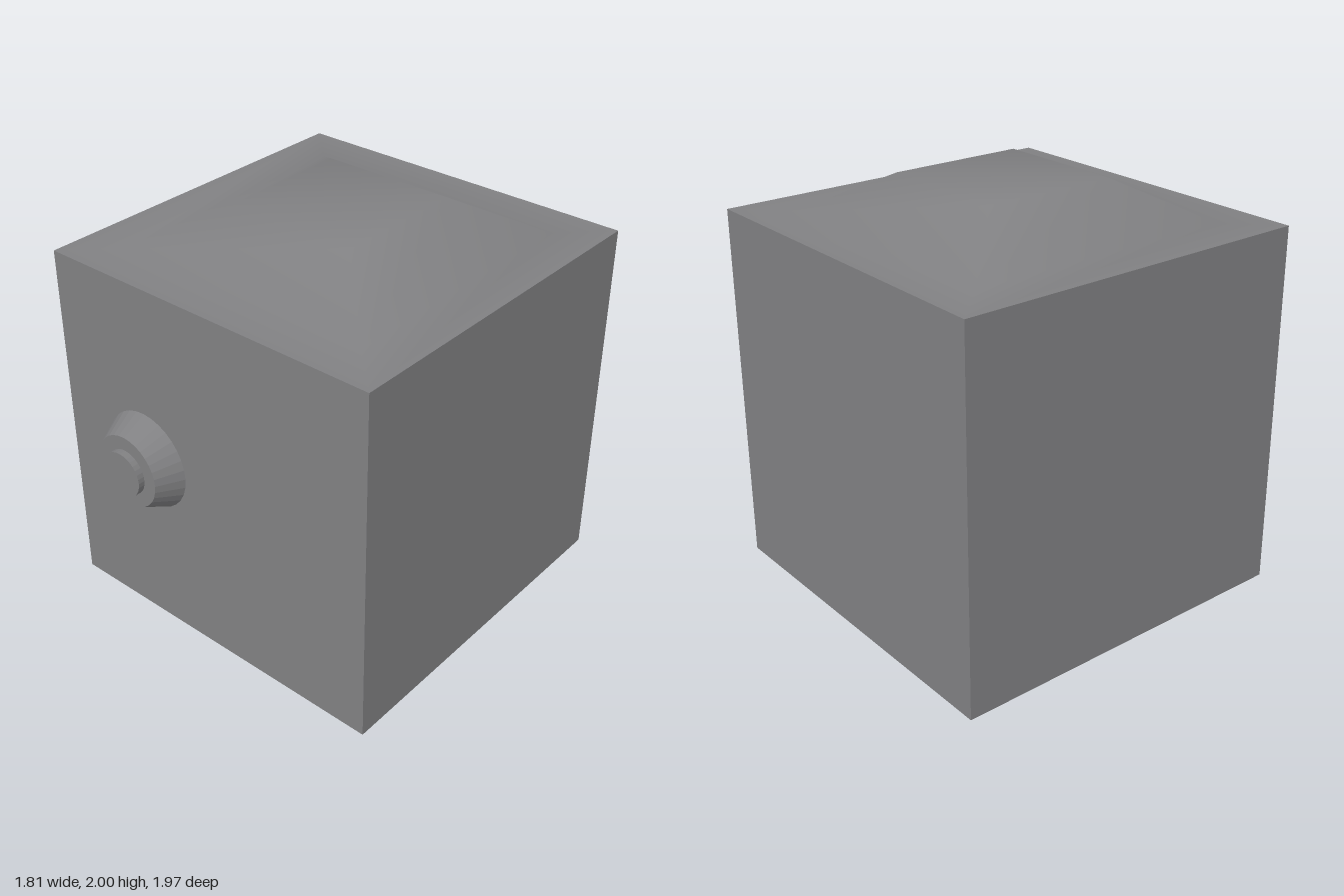
import * as THREE from 'three';

const grey = new THREE.MeshStandardMaterial({ color: 0x808082 });
grey.name = 'grey';

const CZ = -0.08; // depth centre of the cabinet
const HALF = 0.903, HEIGHT = 1.805;

function add(group, name, geometry, x, y, z) {
  const mesh = new THREE.Mesh(geometry, grey);
  mesh.name = name;
  mesh.position.set(x, y, z);
  group.add(mesh);
}

// Box with its +y face left out; the softly shaded lid closes it
function bodyGeometry() {
  const geo = new THREE.BoxGeometry(HALF * 2, HEIGHT, HALF * 2);
  const index = Array.from(geo.index.array);
  index.splice(12, 6);
  geo.setIndex(index);
  geo.clearGroups();
  return geo;
}

// Square loops joined into a rim, a slope and a flat top, sharing normals
function lidGeometry() {
  const loops = [[HALF, 0], [0.682, 0], [0.337, 0.195]];
  const points = [], index = [];
  for (const [r, y] of loops) points.push(-r, y, r, r, y, r, r, y, -r, -r, y, -r);
  for (let k = 0; k < loops.length - 1; k++) {
    for (let i = 0; i < 4; i++) {
      const a = k * 4 + i, b = k * 4 + (i + 1) % 4;
      index.push(a, b, b + 4, a, b + 4, a + 4);
    }
  }
  index.push(8, 9, 10, 8, 10, 11);
  const geo = new THREE.BufferGeometry();
  geo.setAttribute('position', new THREE.Float32BufferAttribute(points, 3));
  geo.setIndex(index);
  geo.computeVertexNormals();
  return geo;
}

// Faceted disc whose axis points to the front
function discGeometry(frontRadius, backRadius, depth) {
  const geo = new THREE.CylinderGeometry(frontRadius, backRadius, depth, 32)
    .rotateX(Math.PI / 2).toNonIndexed();
  geo.computeVertexNormals();
  return geo;
}

export function createModel() {
  const model = new THREE.Group();
  model.name = 'cabinet';
  add(model, 'body', bodyGeometry(), 0, HEIGHT / 2, CZ);
  add(model, 'lid', lidGeometry(), 0, HEIGHT, CZ);

  // Dial on the front
  const dial = new THREE.Group();
  dial.name = 'dial';
  dial.position.set(-0.39, 0.905, HALF + CZ);
  add(dial, 'dialBase', discGeometry(0.183, 0.247, 0.127), 0, 0, 0.0635);
  add(dial, 'dialButton', discGeometry(0.114, 0.114, 0.034), 0, 0, 0.144);
  model.add(dial);
  return model;
}
